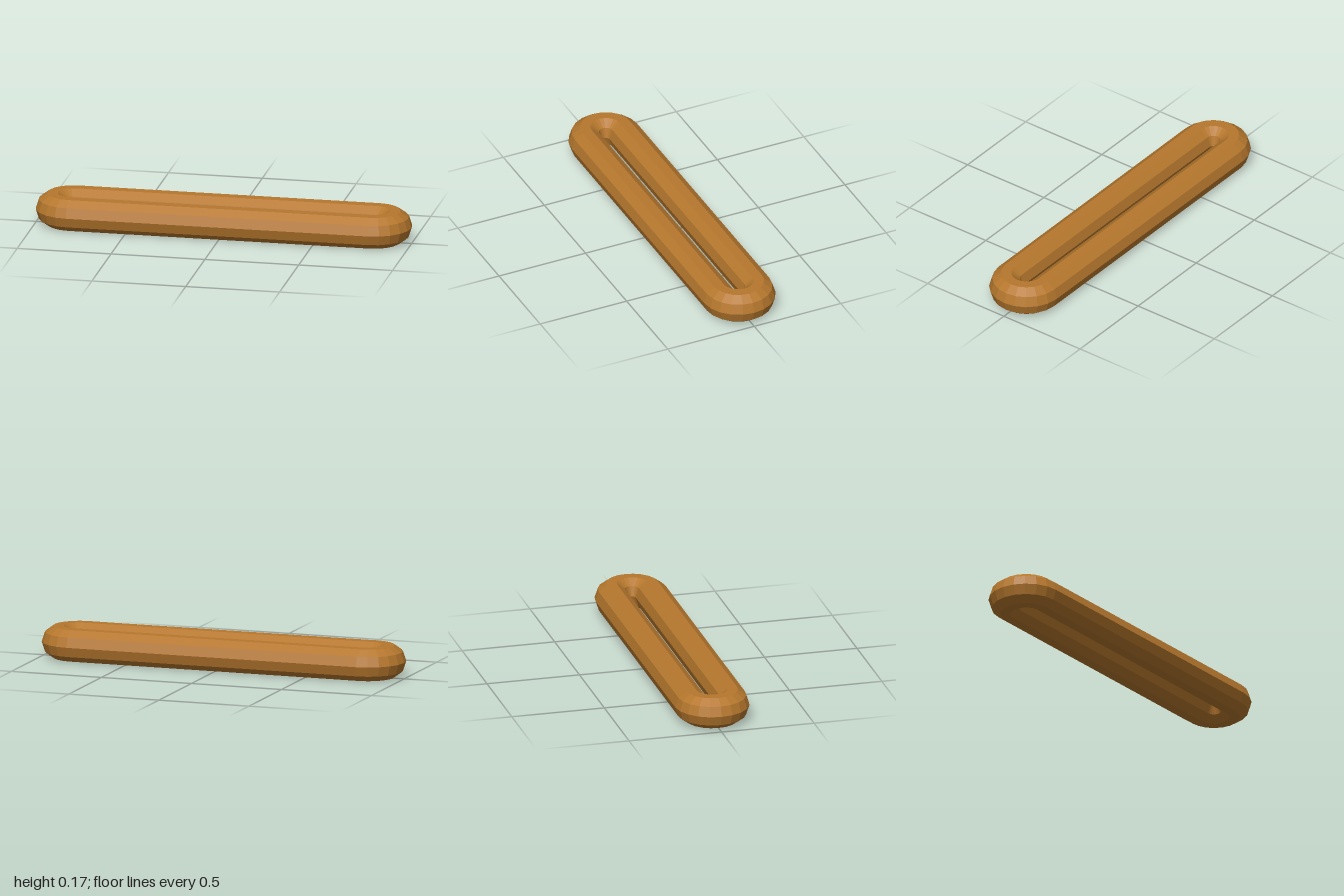
import * as THREE from 'three';

// Closed stadium-shaped link: a ten-sided bar swept around two straights and two half-turns
export function createModel() {
  const barRadius = 0.0883, sides = 10, bendRadius = 0.1085, halfStraight = 0.803, bendSteps = 10;
  const height = barRadius * Math.sin(Math.PI * 0.4);

  // Stations along the path: bend centre and outward direction
  const stations = [];
  for (const end of [1, -1]) {
    for (let i = 0; i <= bendSteps; i++) {
      const a = -Math.PI / 2 + (Math.PI * i) / bendSteps;
      stations.push({ cx: end * halfStraight, dx: end * Math.cos(a), dz: end * Math.sin(a) });
    }
  }

  // One cross-section ring per station
  const positions = [], indices = [];
  stations.forEach(({ cx, dx, dz }, s) => {
    const next = (s + 1) % stations.length;
    for (let k = 0; k < sides; k++) {
      const t = (2 * Math.PI * k) / sides;
      const r = bendRadius + barRadius * Math.cos(t);
      positions.push(cx + dx * r, height + barRadius * Math.sin(t), dz * r);
      const k2 = (k + 1) % sides;
      const a = s * sides + k, b = s * sides + k2, c = next * sides + k2, d = next * sides + k;
      indices.push(a, b, c, a, c, d);
    }
  });

  const geometry = new THREE.BufferGeometry();
  geometry.setAttribute('position', new THREE.Float32BufferAttribute(positions, 3));
  geometry.setIndex(indices);
  const flat = geometry.toNonIndexed();
  flat.computeVertexNormals();

  const link = new THREE.Mesh(flat, new THREE.MeshStandardMaterial({ color: 0xb5772d, flatShading: true }));
  link.name = 'link';
  const group = new THREE.Group();
  group.name = 'elongatedLink';
  group.add(link);
  return group;
}
